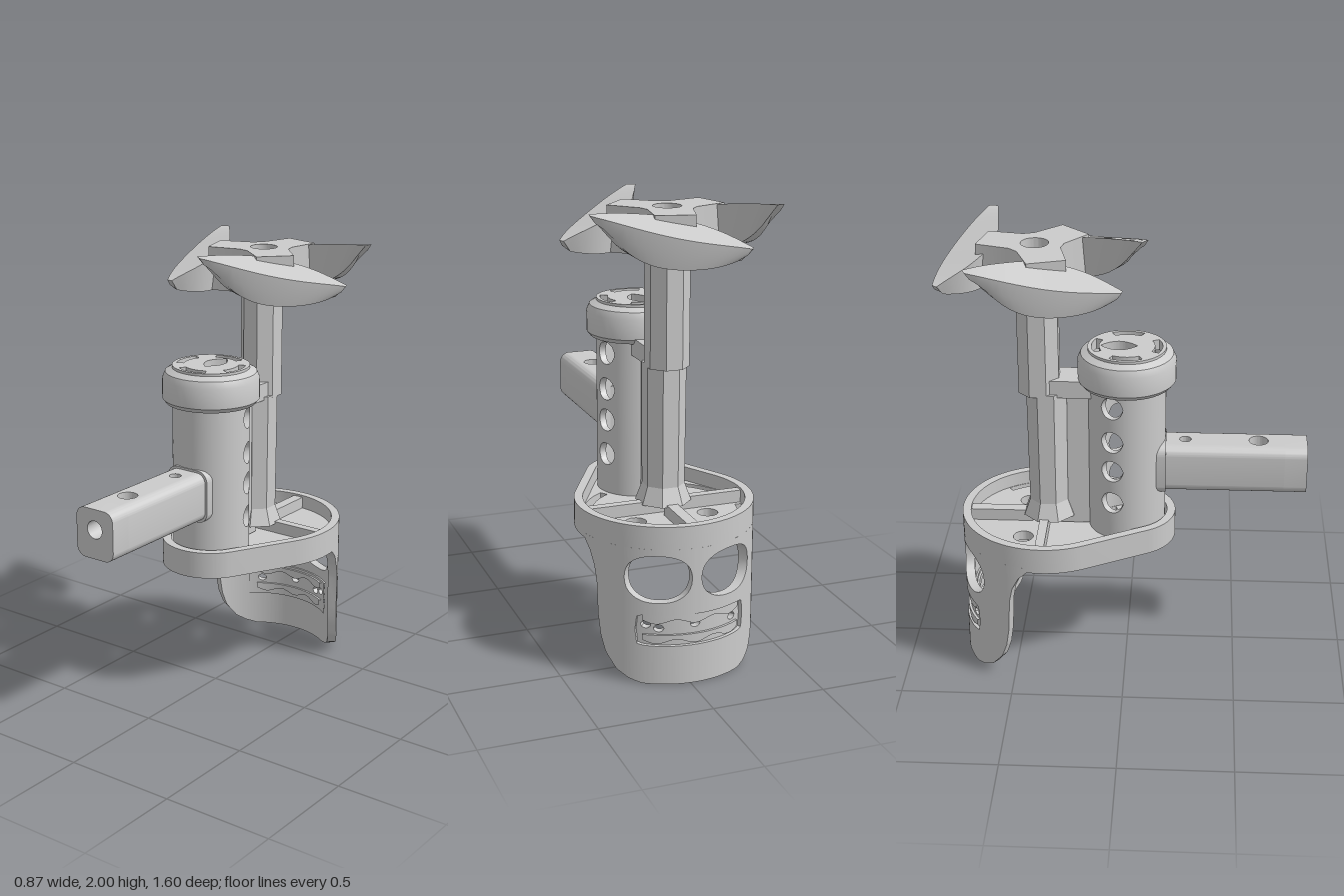
import * as THREE from 'three';
import { toCreasedNormals, mergeGeometries } from 'three/addons/utils/BufferGeometryUtils.js';

const PI = Math.PI;
const grey = new THREE.MeshStandardMaterial({ color: 0xcccccc });

function part(parent, name, geometry, x = 0, y = 0, z = 0, crease = 0.6) {
  const mesh = new THREE.Mesh(toCreasedNormals(geometry, crease), grey);
  mesh.name = name;
  mesh.position.set(x, y, z);
  parent.add(mesh);
  return mesh;
}

// plan shape (x, -z) raised from y0 by h
function slab(shape, y0, h) {
  return new THREE.ExtrudeGeometry(shape, { depth: h, bevelEnabled: false, curveSegments: 28 })
    .rotateX(-PI / 2).translate(0, y0, 0);
}

const circle = (x, y, r) => new THREE.Path().absarc(x, y, r, 0, 2 * PI, true);

function arcSlot(x, y, r0, r1, a0, a1) {
  return new THREE.Path().absarc(x, y, r1, a0, a1, false).absarc(x, y, r0, a1, a0, true);
}

// pointed oval opening
function lens(y, halfW, halfL) {
  const p = new THREE.Path();
  p.moveTo(0, y - halfL);
  p.quadraticCurveTo(halfW * 2, y, 0, y + halfL);
  p.quadraticCurveTo(-halfW * 2, y, 0, y - halfL);
  return p;
}

// teardrop hull of a large rear circle and a small front circle
function teardrop(R, r, Type = THREE.Shape) {
  const f = Math.acos((R - r) / 0.36);
  return new Type()
    .absarc(0, 0, r, -PI / 2 - f, -PI / 2 + f, false)
    .absarc(0, 0.36, R, -PI / 2 + f, 1.5 * PI - f, false)
    .closePath();
}

// curved wall with rounded openings; angle 0 points to the back
function curvedWall(ro, ri, a0, a1, n, low, high, holes) {
  const cuts = [];
  for (let i = 0; i <= n; i++) cuts.push(a0 + (a1 - a0) * i / n);
  holes.forEach(h => cuts.push(h.a - h.w, h.a + h.w));
  cuts.sort((p, q) => p - q);
  const pos = [];
  const at = (R, a, y) => [R * Math.sin(a), y, -R * Math.cos(a)];
  const quad = (a, b, c, d) => pos.push(...a, ...b, ...c, ...a, ...c, ...d);
  const half = (h, a) => {
    const u = Math.min(1, Math.abs((a - h.a) / h.w)), p = h.p || 2;
    return u > 0.99999 ? 0 : h.h * Math.pow(1 - Math.pow(u, p), 1 / p);
  };
  for (let i = 0; i + 1 < cuts.length; i++) {
    const s = cuts[i], e = cuts[i + 1], m = (s + e) / 2;
    if (e - s < 1e-6) continue;
    const bounds = [[low(s), low(e)]];
    holes.filter(h => Math.abs(m - h.a) < h.w).sort((p, q) => p.y - q.y).forEach(h => {
      bounds.push([h.y - half(h, s), h.y - half(h, e)], [h.y + half(h, s), h.y + half(h, e)]);
    });
    bounds.push([high, high]);
    for (let k = 0; k < bounds.length; k += 2) {
      const [l1, l2] = bounds[k], [h1, h2] = bounds[k + 1];
      const o = [at(ro, s, l1), at(ro, e, l2), at(ro, e, h2), at(ro, s, h1)];
      const q = [at(ri, s, l1), at(ri, e, l2), at(ri, e, h2), at(ri, s, h1)];
      quad(o[0], o[3], o[2], o[1]);
      quad(q[0], q[1], q[2], q[3]);
      quad(o[3], q[3], q[2], o[2]);
      quad(o[0], o[1], q[1], q[0]);
    }
  }
  const g = new THREE.BufferGeometry();
  g.setAttribute('position', new THREE.Float32BufferAttribute(pos, 3));
  return g;
}

// swept blade: high pointed tip, falling to a low tip
function bladeGeometry() {
  const V = (x, z) => new THREE.Vector3(x, 0, z);
  const outer = new THREE.QuadraticBezierCurve3(V(0, 0.48), V(0.3, 0.29), V(0.455, 0.03));
  const inner = new THREE.CatmullRomCurve3([V(-0.03, 0.455), V(0.035, 0.3), V(0.12, 0.14), V(0.27, 0.04), V(0.445, 0.005)]);
  const mid = V(0.21, 0.2), n = 20, pos = [], idx = [], m = 5;
  for (let i = 0; i <= n; i++) {
    const t = i / n, o = outer.getPoint(t), q = inner.getPoint(t);
    const bulge = Math.sin(PI * t);
    const top = 2 - 0.14 * Math.pow(t, 2);
    const rim = top - 0.05 * bulge;
    const bottom = 1.78 + 0.16 * Math.pow(1 - t, 5) + 0.03 * Math.pow(t, 6);
    const ob = o.clone().lerp(mid, 0.2), qb = q.clone().lerp(mid, 0.16);
    const om = o.clone().lerp(ob, 0.3);
    pos.push(q.x, top, q.z, o.x, rim, o.z, om.x, (rim + bottom) / 2, om.z,
      ob.x, bottom, ob.z, qb.x, bottom, qb.z);
    if (i < n) for (let j = 0; j < m; j++) {
      const a = i * m + j, b = i * m + (j + 1) % m;
      idx.push(a, b, a + m, b, b + m, a + m);
    }
  }
  for (let j = 1; j < m - 1; j++) idx.push(0, j + 1, j, n * m, n * m + j, n * m + j + 1);
  const g = new THREE.BufferGeometry();
  g.setAttribute('position', new THREE.Float32BufferAttribute(pos, 3));
  g.setIndex(idx);
  return g;
}

// rounded rectangle, or only its side beyond x = cut
function roundedProfile(w, h, r, sideOnly) {
  const s = new THREE.Shape();
  if (sideOnly) s.moveTo(w - r, -h);
  else s.absarc(-w + r, h - r, r, PI / 2, PI, false).absarc(-w + r, -h + r, r, PI, 1.5 * PI, false);
  return s.absarc(w - r, -h + r, r, -PI / 2, 0, false).absarc(w - r, h - r, r, 0, PI / 2, false).closePath();
}

export function createModel() {
  const model = new THREE.Group();
  const body = new THREE.Group();
  body.name = 'body';
  body.position.x = -0.025;
  model.add(body);

  // base: rim, perforated floor and spokes
  const rim = teardrop(0.39, 0.22);
  rim.holes.push(teardrop(0.352, 0.182, THREE.Path));
  part(body, 'baseRim', slab(rim, 0.59, 0.12));
  const floor = teardrop(0.37, 0.2);
  for (const s of [0, 1]) {
    const mirror = (a, b) => s ? [PI - b, PI - a] : [a, b];
    floor.holes.push(arcSlot(0, 0.36, 0.312, 0.349, ...mirror(-1.0, -0.14)));
    floor.holes.push(arcSlot(0, 0.36, 0.32, 0.349, ...mirror(0.15, 0.65)));
    floor.holes.push(circle(s ? -0.165 : 0.165, 0.46, 0.045));
  }
  floor.holes.push(lens(0.035, 0.04, 0.08));
  for (let k = 0; k < 4; k++) floor.holes.push(arcSlot(0, 0, 0.115, 0.14, PI / 4 + k * PI / 2 - 0.35, PI / 4 + k * PI / 2 + 0.35));
  part(body, 'baseFloor', slab(floor, 0.6, 0.045));
  part(body, 'rearSpoke', new THREE.BoxGeometry(0.05, 0.08, 0.3), 0, 0.66, -0.58);
  part(body, 'crossSpoke', new THREE.BoxGeometry(0.73, 0.08, 0.04), 0, 0.66, -0.37);

  // rear skirt with two round openings and a recessed strip
  const edge = [[0, 0], [0.6, 0], [0.75, 0.015], [0.9, 0.045], [1.05, 0.11], [1.12, 0.18], [1.16, 0.27],
    [1.18, 0.42], [1.22, 0.49], [1.3, 0.55], [1.42, 0.595]];
  const skirtLow = a => {
    const u = Math.abs(a);
    const i = Math.min(edge.length - 2, Math.max(0, edge.findIndex(p => p[0] >= u) - 1));
    const [p, q] = [edge[i], edge[i + 1]];
    return p[1] + (q[1] - p[1]) * Math.min(1, (u - p[0]) / (q[0] - p[0]));
  };
  part(body, 'skirt', curvedWall(0.39, 0.348, -1.42, 1.42, 142, skirtLow, 0.61, [
    { a: -0.43, y: 0.475, w: 0.375, h: 0.105, p: 2.3 },
    { a: 0.43, y: 0.475, w: 0.375, h: 0.105, p: 2.3 },
    { a: 0, y: 0.245, w: 0.68, h: 0.07, p: 10 }]), 0, 0, -0.36);
  const gaps = [-0.52, 0, 0.42, 0.57].map((a, i) => ({ a, y: 0.25 + 0.015 * (i % 2), w: 0.06, h: 0.016 }));
  part(body, 'skirtStrip', curvedWall(0.374, 0.34, -0.71, 0.71, 60, () => 0.165, 0.325, gaps), 0, 0, -0.36);
  for (const y of [0.205, 0.295])
    part(body, 'stripRib', curvedWall(0.385, 0.33, -0.6, 0.6, 40, a => y - 0.012 - 0.01 * Math.cos(a * 14), y + 0.018, []), 0, 0, -0.36);

  // hollow column with a row of holes on either side
  const holes = [];
  for (const y of [0.825, 0.982, 1.125, 1.288])
    for (const a of [-1.21, 1.21]) holes.push({ a, y, w: 0.3, h: 0.05 });
  part(body, 'column', curvedWall(0.172, 0.142, -PI, PI, 96, () => 0.62, 1.4, holes));

  // cap ring and slotted lid
  const ring = [[0.165, 1.35], [0.2, 1.35], [0.216, 1.37], [0.216, 1.46], [0.203, 1.49], [0.165, 1.51], [0.165, 1.35]];
  part(body, 'capRing', new THREE.LatheGeometry(ring.map(p => new THREE.Vector2(...p)), 40));
  const lid = new THREE.Shape().absarc(0, 0, 0.172, 0, 2 * PI, false);
  lid.holes.push(lens(0.035, 0.045, 0.08));
  for (let k = 0; k < 4; k++) lid.holes.push(arcSlot(0, 0, 0.122, 0.155, k * PI / 2 - 0.48, k * PI / 2 + 0.48));
  part(body, 'capLid', slab(lid, 1.47, 0.048));

  // front handle: bored end, drilled core and rounded sides
  const core = new THREE.Shape([[-0.053, -0.7], [0.053, -0.7], [0.053, -0.14], [-0.053, -0.14]].map(p => new THREE.Vector2(...p)));
  core.holes.push(circle(0, -0.26, 0.026), circle(0, -0.585, 0.043));
  part(body, 'handleCore', slab(core, 0.85, 0.22));
  const along = (shape, z0, z1) => new THREE.ExtrudeGeometry(shape, { depth: z1 - z0, bevelEnabled: false, curveSegments: 8 }).translate(0, 0.96, z0);
  const side = along(roundedProfile(0.098, 0.11, 0.045, true), 0.14, 0.7);
  part(body, 'handleSides', mergeGeometries([side, side.clone().rotateZ(PI).translate(0, 1.92, 0)]));
  const end = roundedProfile(0.098, 0.11, 0.045, false);
  end.holes.push(circle(0, 0.02, 0.04));
  part(body, 'handleEnd', along(end, 0.7, 0.8));
  part(body, 'handleCollar', along(roundedProfile(0.108, 0.12, 0.05, false), 0.12, 0.175));

  // stepped rear post tied to the column
  const prism = (r0, r1, h) => new THREE.CylinderGeometry(r0, r1, h, 8).rotateY(PI / 8);
  part(body, 'upperPost', prism(0.096, 0.096, 0.5), 0, 1.55, -0.385);
  part(body, 'lowerPost', prism(0.096, 0.092, 0.62), 0, 1.0, -0.352);
  part(body, 'postFoot', prism(0.092, 0.122, 0.08), 0, 0.73, -0.352);
  part(body, 'postWeb', new THREE.BoxGeometry(0.07, 0.66, 0.16), 0, 0.98, -0.22);
  part(body, 'postBridge', new THREE.BoxGeometry(0.15, 0.08, 0.2), 0, 1.335, -0.24);

  // three-bladed head
  const head = new THREE.Group();
  head.name = 'bladeHead';
  head.position.set(0.005, 0, -0.39);
  body.add(head);
  const star = [];
  for (let k = 0; k < 3; k++) {
    const a = -0.75 + k * 2 * PI / 3;
    for (const [r, d] of [[0.25, -0.34], [0.25, 0.34], [0.125, 0.85], [0.125, 1.25]])
      star.push(new THREE.Vector2(r * Math.cos(a + d), r * Math.sin(a + d)));
  }
  const hub = new THREE.Shape(star);
  hub.holes.push(circle(0, 0, 0.06));
  part(head, 'hub', slab(hub, 1.785, 0.195));
  for (let k = 0; k < 3; k++)
    part(head, 'blade', bladeGeometry(), 0, 0, 0, 0.7).rotation.y = k * 2 * PI / 3;

  return model;
}
